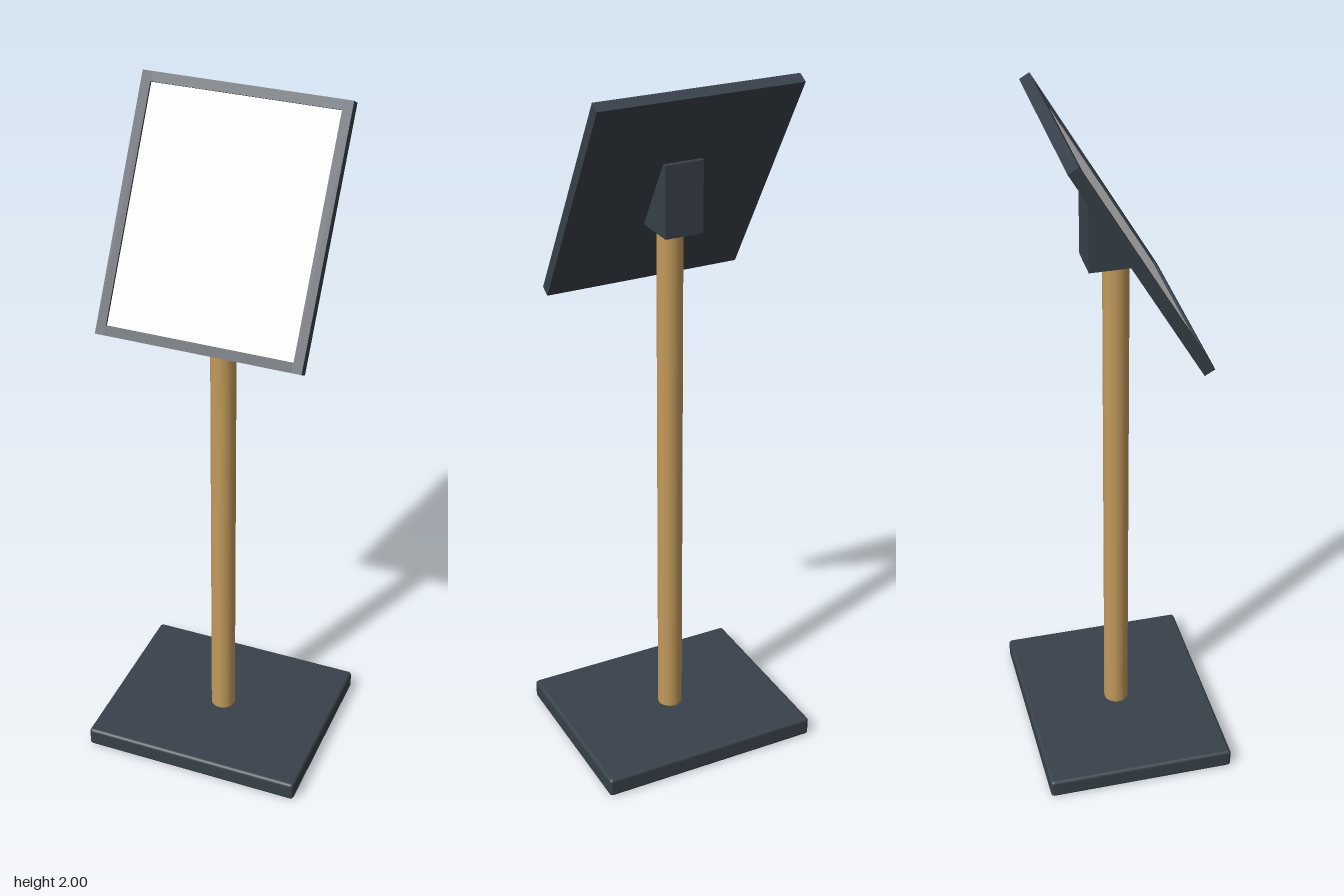
import * as THREE from 'three';
import { RoundedBoxGeometry } from 'three/addons/geometries/RoundedBoxGeometry.js';

export function createModel() {
  const dark = new THREE.MeshStandardMaterial({ color: 0x38414a });
  dark.name = 'dark slate';
  const wood = new THREE.MeshStandardMaterial({ color: 0xc29a5c });
  wood.name = 'warm wood';
  const white = new THREE.MeshStandardMaterial({ color: 0xf0f0f0 });
  white.name = 'off white';

  const model = new THREE.Group();
  model.name = 'signStand';

  const add = (parent, name, geometry, material, x = 0, y = 0, z = 0) => {
    const mesh = new THREE.Mesh(geometry, material);
    mesh.name = name;
    mesh.position.set(x, y, z);
    parent.add(mesh);
    return mesh;
  };

  // Floor plate with softened edges
  const baseH = 0.057;
  add(model, 'base', new RoundedBoxGeometry(0.656, baseH, 0.55, 3, 0.01), dark, 0, baseH / 2, 0);

  // Round post
  const postTop = 1.588;
  const postH = postTop - baseH + 0.01;
  add(model, 'post', new THREE.CylinderGeometry(0.036, 0.036, postH, 24), wood, 0, postTop - postH / 2, 0);

  // Tilted panel: backing, four frame bars and the recessed sheet
  const W = 0.578, L = 0.698, T = 0.032, bar = 0.027, recess = 0.007;
  const tilt = Math.PI / 6;
  const panel = new THREE.Group();
  panel.name = 'panel';
  panel.position.set(0, 1.69, 0.002);
  panel.rotation.x = -tilt;
  model.add(panel);

  const backT = T - recess - 0.002;
  add(panel, 'backing', new THREE.BoxGeometry(W - 0.002, L - 0.002, backT), dark, 0, 0, -T / 2 + backT / 2);
  add(panel, 'sheet', new THREE.BoxGeometry(W - 2 * bar, L - 2 * bar, 0.004), white, 0, 0, T / 2 - recess - 0.002);
  for (const s of [-1, 1]) {
    add(panel, s > 0 ? 'frameLeft' : 'frameRight',
      new THREE.BoxGeometry(bar, L, T), dark, s * (W - bar) / 2, 0, 0);
    add(panel, s > 0 ? 'frameTop' : 'frameBottom',
      new THREE.BoxGeometry(W - 2 * bar, bar, T), dark, 0, s * (L - bar) / 2, 0);
  }

  // Wedge bracket joining the post to the back of the panel
  const bracketW = 0.11;
  const profile = new THREE.Shape([
    new THREE.Vector2(-0.052, 1.585),
    new THREE.Vector2(0.085, 1.585),
    new THREE.Vector2(0.085, 1.785),
    new THREE.Vector2(0.063, 1.785),
  ]);
  const wedge = new THREE.ExtrudeGeometry(profile, { depth: bracketW, bevelEnabled: false });
  wedge.translate(0, 0, -bracketW / 2);
  wedge.rotateY(Math.PI / 2); // profile x runs towards the back
  add(model, 'bracket', wedge, dark);

  return model;
}
